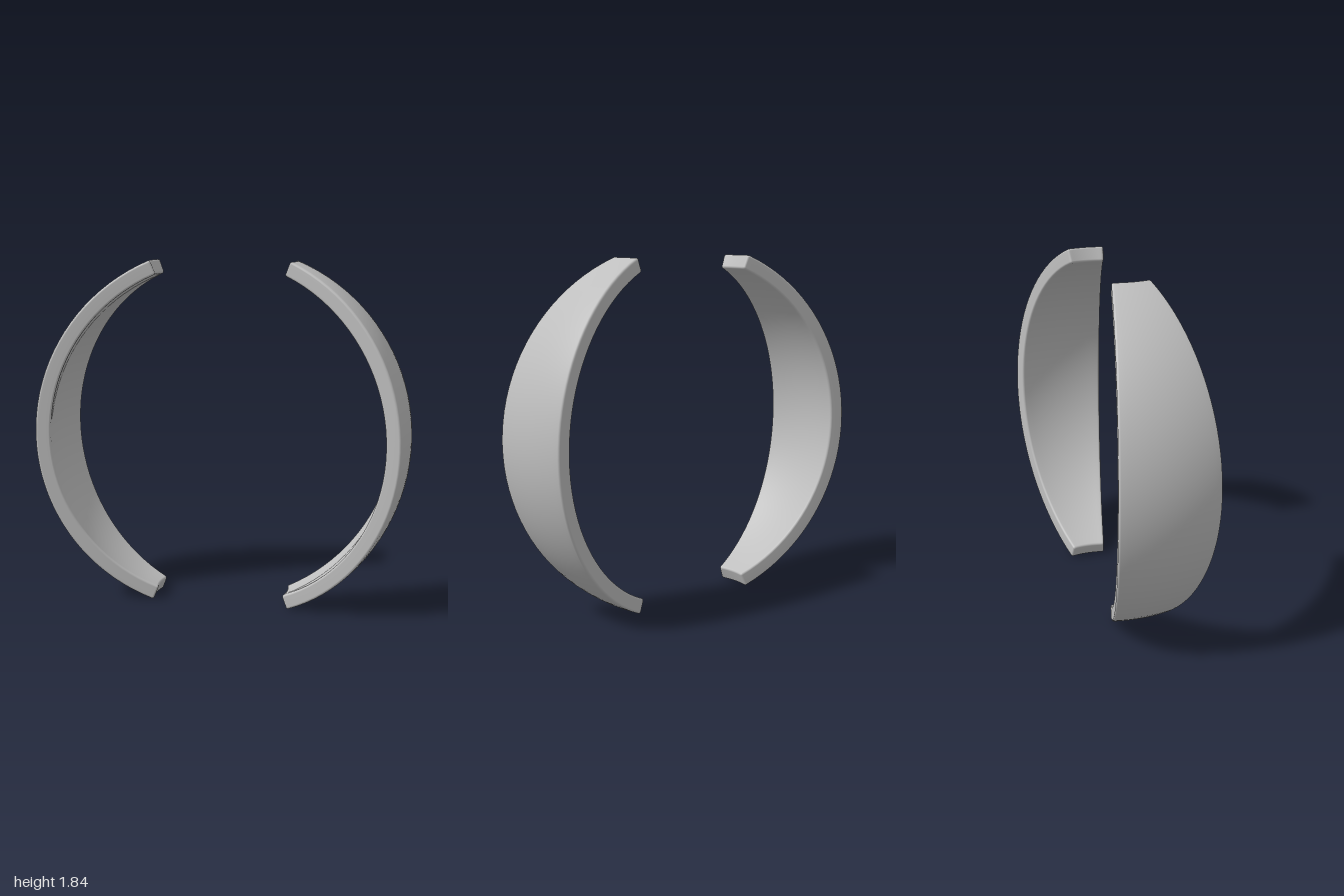
import * as THREE from 'three';
import { mergeVertices } from 'three/addons/utils/BufferGeometryUtils.js';

const OUTER = 1, INNER = 0.92;            // shell radii
const HALF_WIDTH = Math.PI / 12;          // half angle around the vertical axis
const HALF_HEIGHT = Math.PI * 0.375;      // half angle up and down
const BEVEL = 0.012, STEPS = 4, ACROSS = 14, ALONG = 40;

// Half of the rounded cross-section: one curved face, then one side.
// Each point: [radius base, radial bevel factor, side fraction, side bevel factor]
function halfOutline(from, to, sign) {
  const points = [];
  for (let j = 0; j <= ACROSS; j++) points.push([from, sign, sign * (2 * j / ACROSS - 1), 0]);
  for (let k = 1; k <= STEPS; k++) {
    const t = k / STEPS * Math.PI / 2;
    points.push([from, sign * Math.cos(t), sign, Math.sin(t)]);
  }
  for (let k = 0; k < STEPS; k++) {
    const t = k / STEPS * Math.PI / 2;
    points.push([to, -sign * Math.sin(t), sign, Math.cos(t)]);
  }
  return points;
}

function shellBandGeometry() {
  const out = OUTER - BEVEL, inn = INNER + BEVEL;
  const half = halfOutline(out, inn, 1);
  const outline = [...half, ...halfOutline(inn, out, -1)];
  const M = half.length, L = outline.length;

  // Rings from bottom to top: [height fraction, end bevel factor, bevel left on the section]
  const rings = [];
  for (let k = STEPS; k > 0; k--) {
    const t = k / STEPS * Math.PI / 2;
    rings.push([-1, Math.sin(t), k === STEPS ? 0 : Math.cos(t)]);
  }
  for (let i = 0; i <= ALONG; i++) rings.push([2 * i / ALONG - 1, 0, 1]);
  for (let k = 1; k <= STEPS; k++) {
    const t = k / STEPS * Math.PI / 2;
    rings.push([1, Math.sin(t), k === STEPS ? 0 : Math.cos(t)]);
  }

  const positions = [], index = [];
  for (const [g, endBevel, left] of rings) {
    const round = BEVEL * left;
    for (const [base, radial, side, sideBevel] of outline) {
      const r = base + radial * round;
      const phi = g * (HALF_HEIGHT - BEVEL * (1 - endBevel) / r);
      const flat = r * Math.cos(phi);
      const theta = side * (HALF_WIDTH - (BEVEL - round * sideBevel) / flat);
      positions.push(flat * Math.cos(theta), r * Math.sin(phi), flat * Math.sin(theta));
    }
  }
  // Skin between rings
  for (let i = 0; i < rings.length - 1; i++) {
    for (let j = 0; j < L; j++) {
      const a = i * L + j, b = i * L + (j + 1) % L;
      index.push(a, a + L, b, b, a + L, b + L);
    }
  }
  // End caps
  const top = (rings.length - 1) * L;
  for (let j = 0; j < ACROSS; j++) {
    const o = j, p = j + 1, q = M + ACROSS - j, s = q - 1;
    index.push(top + o, top + q, top + p, top + p, top + q, top + s);
    index.push(o, p, q, p, s, q);
  }

  let geometry = new THREE.BufferGeometry();
  geometry.setAttribute('position', new THREE.Float32BufferAttribute(positions, 3));
  geometry.setIndex(index);
  geometry = mergeVertices(geometry, 1e-5);
  geometry.computeVertexNormals();
  return geometry;
}

export function createModel() {
  const group = new THREE.Group();
  group.name = 'shellBands';
  const grey = new THREE.MeshStandardMaterial({ color: 0xbfbfbf });
  grey.name = 'grey';
  const geometry = shellBandGeometry();

  // Two opposite bands of one spherical shell
  ['leftBand', 'rightBand'].forEach((name, i) => {
    const band = new THREE.Mesh(geometry, grey);
    band.name = name;
    band.position.y = 0.92;
    band.rotation.y = i * Math.PI;
    group.add(band);
  });
  return group;
}
